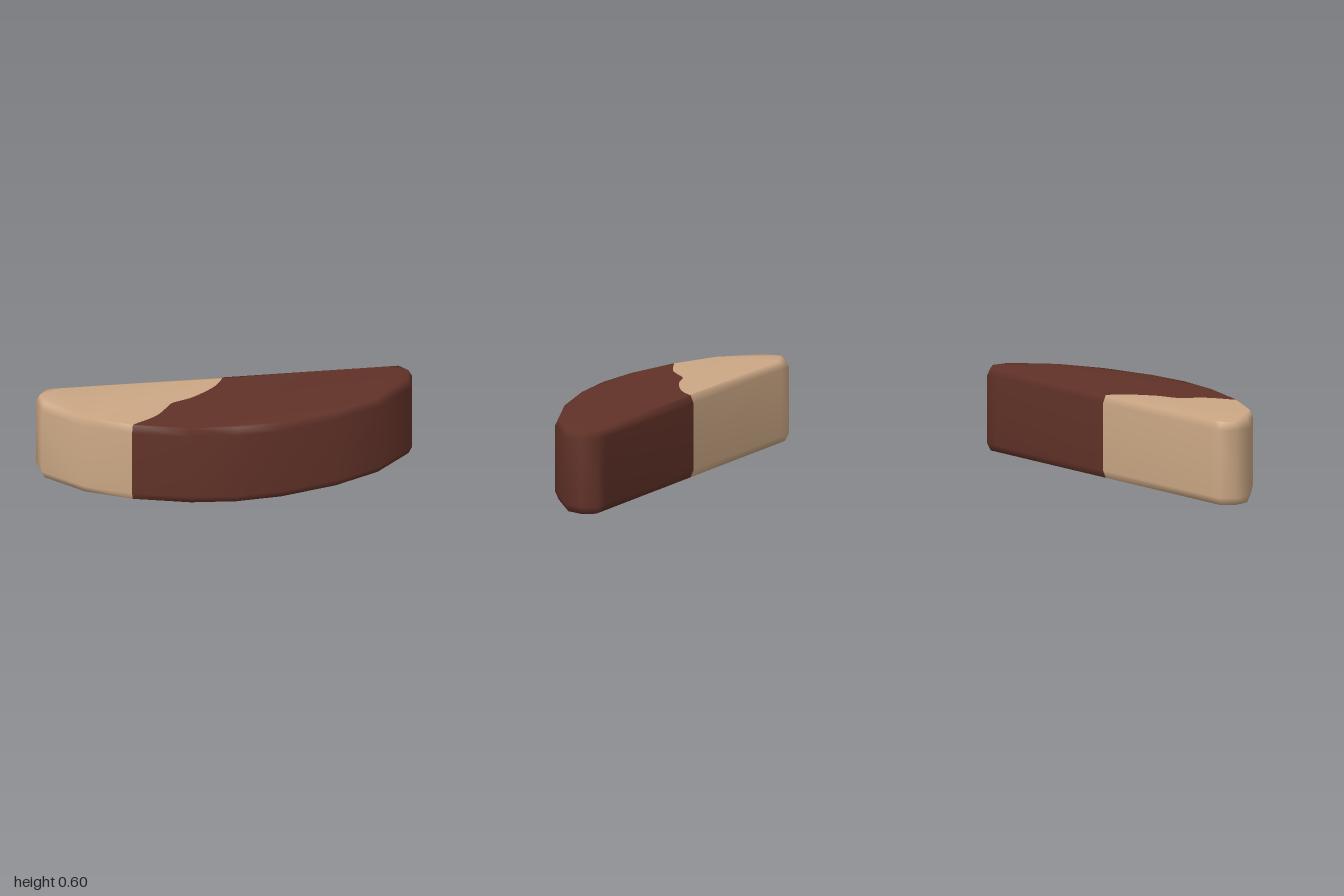
import * as THREE from 'three';

const HEIGHT = 0.595;
// Height and inset of each ring, from the bottom rim to the top rim
const RINGS = [[0, 0.025], [0.055, 0], [HEIGHT - 0.055, 0], [HEIGHT, 0.025]];

// Outline in x, z; the slice is symmetric about the diagonal
function outlinePoints() {
  const half = [[0.11, -0.11], [0.93, 0.71], [1, 0.78], [0.99, 0.9], [0.87, 0.99],
    [0.51, 0.98], [0.17, 0.86], [-0.19, 0.65], [-0.44, 0.44]];
  const mirrored = half.slice(1, -1).reverse().map(([x, z]) => [-z, -x]);
  return [...half, ...mirrored].map(([x, z]) => new THREE.Vector2(x, z));
}

// Moves every corner of a closed outline inwards by the same edge distance
function inset(points, distance) {
  const n = points.length;
  return points.map((p, i) => {
    const a = p.clone().sub(points[(i + n - 1) % n]).normalize();
    const b = points[(i + 1) % n].clone().sub(p).normalize();
    const inward = new THREE.Vector2(-a.y - b.y, a.x + b.x);
    return p.clone().addScaledVector(inward, distance / (1 + a.dot(b)));
  });
}

export function createModel() {
  const chocolate = new THREE.MeshStandardMaterial({ color: 0x613228 });
  chocolate.name = 'chocolate';
  const biscuit = new THREE.MeshStandardMaterial({ color: 0xcca885 });
  biscuit.name = 'biscuit';

  const outline = outlinePoints();
  const n = outline.length;
  const positions = [];
  for (const [y, d] of RINGS) {
    for (const p of inset(outline, d)) positions.push(p.x, y, p.y);
  }

  // Wavy edge of the dip, between the two cut corners of the outline
  const cut = outline.findIndex((p) => Math.abs(p.x + 0.86) < 0.001 || Math.abs(p.x + 0.855) < 0.01);
  const rim = inset(outline, RINGS[0][1]);
  const wave = new THREE.SplineCurve([
    rim[cut],
    ...[[-0.8, -0.175], [-0.7, -0.145], [-0.61, -0.13], [-0.52, -0.14], [-0.42, -0.153],
      [-0.34, -0.12], [-0.25, -0.085], [-0.08, -0.06], [0.02, -0.07]]
      .map(([x, z]) => new THREE.Vector2(x, z)),
    rim[0],
  ]).getPoints(32).slice(1, -1);
  const waveStart = [0, HEIGHT].map((y) => {
    const start = positions.length / 3;
    for (const p of wave) positions.push(p.x, y, p.y);
    return start;
  });

  // Faces of one end: the bevelled side wall from corner i0 to i1, and both caps
  function partFaces(i0, i1, reverseWave) {
    const index = [];
    for (let r = 0; r < RINGS.length - 1; r++) {
      for (let i = i0; i < i1; i++) {
        const a = r * n + i, b = r * n + (i + 1) % n;
        index.push(a, b + n, b, a, a + n, b + n);
      }
    }
    [0, RINGS.length - 1].forEach((ring, top) => {
      const corners = [];
      for (let i = i0; i <= i1; i++) corners.push(ring * n + i % n);
      const line = wave.map((_, i) => waveStart[top] + i);
      corners.push(...(reverseWave ? line.reverse() : line));
      const flat = corners.map((c) => new THREE.Vector2(positions[c * 3], positions[c * 3 + 2]));
      for (const [a, b, c] of THREE.ShapeUtils.triangulateShape(flat.slice(), [])) {
        const turn = flat[b].clone().sub(flat[a]).cross(flat[c].clone().sub(flat[a]));
        const facesDown = turn > 0;
        const keep = facesDown === (top === 0);
        index.push(corners[a], corners[keep ? b : c], corners[keep ? c : b]);
      }
    });
    return index;
  }
  const dippedFaces = partFaces(0, cut, false);
  const plainFaces = partFaces(cut, n, true);

  // Shared smooth normals keep the shading continuous across the colour edge
  const whole = new THREE.BufferGeometry();
  whole.setAttribute('position', new THREE.Float32BufferAttribute(positions, 3));
  whole.setIndex([...dippedFaces, ...plainFaces]);
  whole.computeVertexNormals();

  const group = new THREE.Group();
  group.name = 'dippedBiscuit';
  for (const [name, faces, material] of [
    ['chocolateDippedEnd', dippedFaces, chocolate],
    ['plainBiscuitEnd', plainFaces, biscuit],
  ]) {
    const geometry = whole.clone();
    geometry.setIndex(faces);
    const mesh = new THREE.Mesh(geometry, material);
    mesh.name = name;
    group.add(mesh);
  }
  return group;
}
